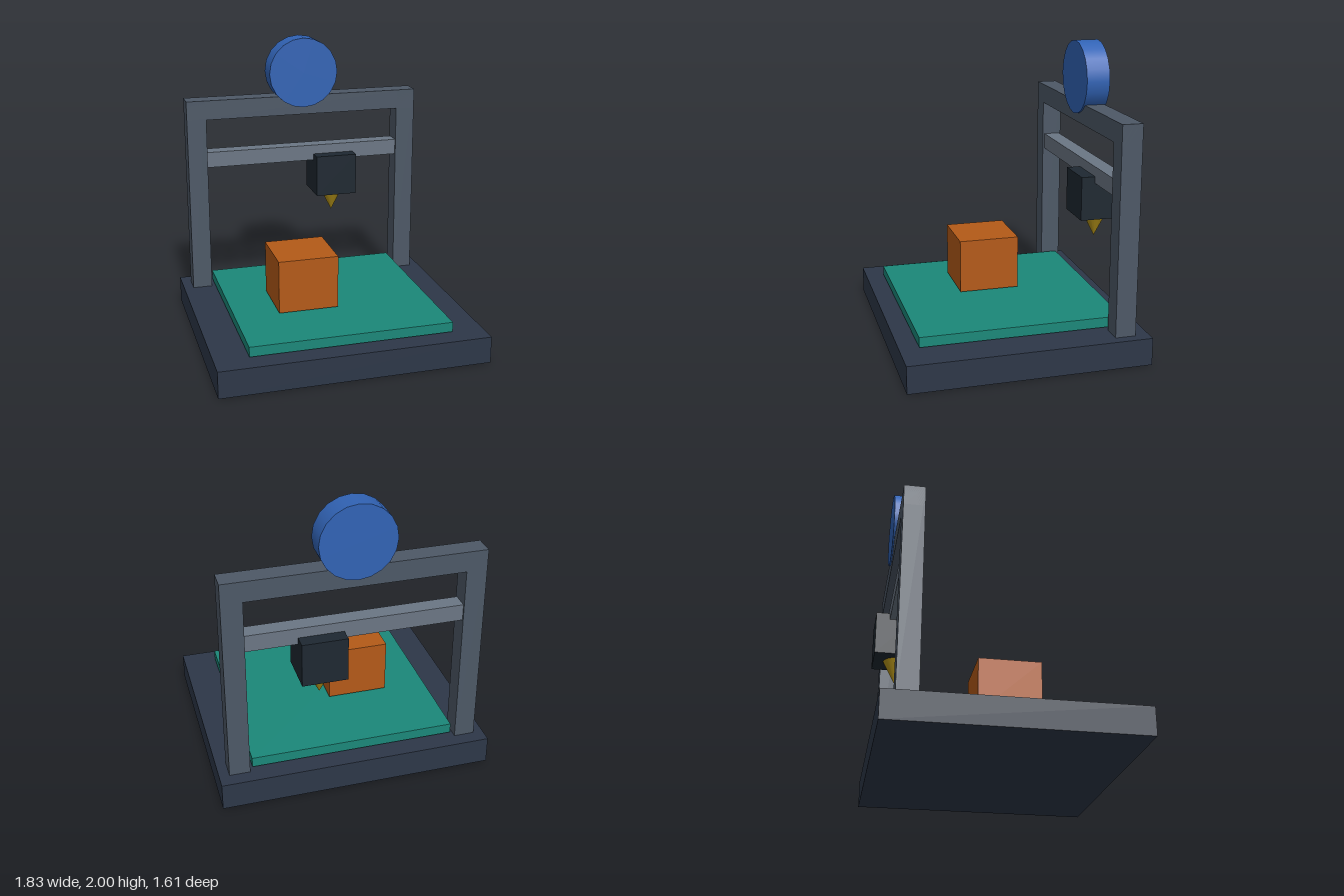
import * as THREE from 'three';

const material = (color) => new THREE.MeshStandardMaterial({ color });
const dark = material(0x2d3748);
const steel = material(0x4d5866);
const rail = material(0x6b7684);
const black = material(0x1e2831);
const brass = material(0xb8961a);
const blue = material(0x3163b5);
const teal = material(0x1b8879);
const orange = material(0xb45a18);

const GANTRY_Z = -0.643;

export function createModel() {
  const model = new THREE.Group();
  model.name = 'printer';

  function add(name, geometry, mat, x, y, z) {
    const mesh = new THREE.Mesh(geometry, mat);
    mesh.name = name;
    mesh.position.set(x, y, z);
    model.add(mesh);
    return mesh;
  }
  const box = (name, mat, [w, h, d], x, y, z) =>
    add(name, new THREE.BoxGeometry(w, h, d), mat, x, y, z);

  // Base, and the plate floating just above it
  box('base', dark, [1.834, 0.185, 1.61], 0, 0.0925, 0);
  box('printBed', teal, [1.38, 0.068, 1.36], 0, 0.231, 0);

  // Printed block
  box('printedBlock', orange, [0.413, 0.367, 0.413], -0.186, 0.462, 0.046);

  // Gantry: two posts, top beam, cross rail
  for (const [name, side] of [['leftPost', 1], ['rightPost', -1]]) {
    box(name, steel, [0.138, 1.4, 0.138], side * 0.78, 0.885, GANTRY_Z);
  }
  box('topBeam', steel, [1.698, 0.138, 0.138], 0, 1.516, GANTRY_Z);
  box('crossRail', rail, [1.422, 0.112, 0.112], 0, 1.15, GANTRY_Z);

  // Print head with a cone nozzle pointing down
  box('printHead', black, [0.298, 0.298, 0.298], 0.227, 0.99, GANTRY_Z);
  const nozzle = add('nozzle', new THREE.ConeGeometry(0.08, 0.158, 20), brass, 0.227, 0.763, GANTRY_Z);
  nozzle.rotation.x = Math.PI;

  // Filament spool on the top beam, axis along z
  const spool = add('spool', new THREE.CylinderGeometry(0.25, 0.25, 0.16, 20), blue, 0, 1.75, GANTRY_Z);
  spool.rotation.x = Math.PI / 2;

  return model;
}
